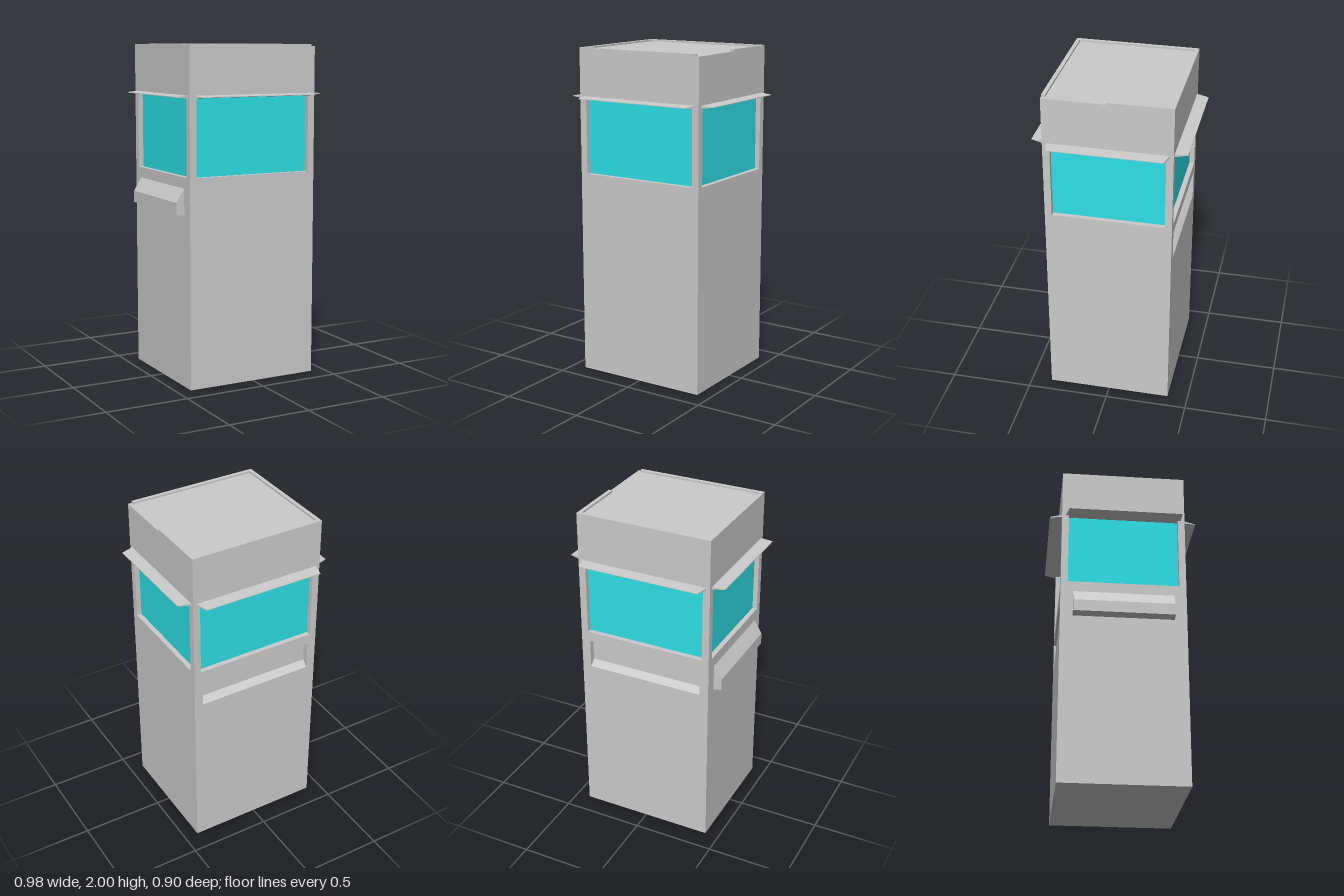
import * as THREE from 'three';

const HW = 0.415, HD = 0.375;   // half width and half depth of the tower
const T = 0.035;                // wall thickness, also the depth of the recesses
const TOP = 1.988;              // roof deck level
const WIN = [1.245, 1.7];       // window sill and head
const SLOT = [1.01, 1.185];     // niche sill and head

const grey = new THREE.MeshStandardMaterial({ color: 0xcccccc, flatShading: true });
const glass = new THREE.MeshStandardMaterial({ color: 0x2ee0e6, flatShading: true });

function add(parent, name, geometry, material = grey) {
  const mesh = new THREE.Mesh(geometry, material);
  mesh.name = name;
  parent.add(mesh);
  return mesh;
}

// box given by its limits
function block(parent, name, [x0, x1], [y0, y1], [z0, z1], material) {
  const g = new THREE.BoxGeometry(x1 - x0, y1 - y0, z1 - z0);
  g.translate((x0 + x1) / 2, (y0 + y1) / 2, (z0 + z1) / 2);
  return add(parent, name, g, material);
}

function rectPath(Type, x0, x1, y0, y1) {
  return new Type([[x0, y0], [x1, y0], [x1, y1], [x0, y1]].map(p => new THREE.Vector2(...p)));
}

// prism along x from a (z, y) profile
function prism(parent, name, profile, halfLength) {
  const shape = new THREE.Shape(profile.map(([z, y]) => new THREE.Vector2(-z, y)));
  const g = new THREE.ExtrudeGeometry(shape, { depth: halfLength * 2, bevelEnabled: false });
  g.translate(0, 0, -halfLength);
  g.rotateY(Math.PI / 2);
  return add(parent, name, g);
}

// thin canopy tapering outward in plan and in thickness
function canopy(parent, z, half, taperLeft, taperRight) {
  const g = new THREE.BoxGeometry(2, 2, 1).toNonIndexed();
  const p = g.attributes.position;
  for (let i = 0; i < p.count; i++) {
    const sx = p.getX(i), sy = p.getY(i), outer = p.getZ(i) > 0;
    const taper = outer ? (sx > 0 ? taperRight : taperLeft) : 0;
    p.setXYZ(i, sx * (half - taper), 1.706 + sy * (outer ? 0.002 : 0.008), outer ? z + 0.073 : z - 0.005);
  }
  g.computeVertexNormals();
  add(parent, 'canopy', g);
}

// one side of the tower: x runs along the wall, z points outward
function side(name, angle, { face, halfWall, halfWindow, halfCanopy, taper, slot }) {
  const group = new THREE.Group();
  group.name = name;
  const wall = rectPath(THREE.Shape, -halfWall, halfWall, 0, TOP);
  wall.holes.push(rectPath(THREE.Path, -halfWindow, halfWindow, ...WIN));
  if (slot) wall.holes.push(rectPath(THREE.Path, -slot, slot, ...SLOT));
  const g = new THREE.ExtrudeGeometry(wall, { depth: T, bevelEnabled: false });
  g.translate(0, 0, face - T);
  add(group, 'wall', g);
  block(group, 'window', [-halfWindow, halfWindow], WIN, [face - T - 0.01, face - T + 0.005], glass);
  canopy(group, face, halfCanopy, ...taper);
  if (slot) {
    // sloping sill inside the niche
    prism(group, 'nicheSill', [[face, SLOT[0]], [face - T, SLOT[0] + 0.035], [face - T, SLOT[0]]], slot);
  }
  group.rotation.y = angle;
  return group;
}

export function createModel() {
  const model = new THREE.Group();
  model.name = 'guardTower';

  // solid core behind the wall panels
  block(model, 'core', [-HW + T, HW - T], [0, TOP], [-HD + T, HD - T]);

  const long = { face: HD, halfWall: HW, halfWindow: 0.372, halfCanopy: 0.393, taper: [0.022, 0.022] };
  const short = { face: HW, halfWall: HD - T, halfWindow: 0.333, halfCanopy: 0.352, taper: [0.02, 0.02] };
  model.add(side('frontSide', 0, long));
  model.add(side('leftSide', Math.PI / 2, short));
  model.add(side('backSide', Math.PI, { ...long, slot: 0.36 }));
  const right = side('rightSide', -Math.PI / 2, { ...short, taper: [0.02, 0] });
  model.add(right);

  // sloped hopper on the right wall
  prism(right, 'hopper', [[HW - 0.01, 1.02], [HW, 1.02], [HW + 0.05, 1.03], [HW + 0.05, 1.1], [HW, 1.18], [HW - 0.01, 1.18]], 0.3);

  // low roof rim, open along the front half of the left edge
  const R = 0.023, rimY = [TOP, 2];
  block(model, 'rimFront', [-HW, HW - R], rimY, [HD - R, HD]);
  block(model, 'rimBack', [-HW, HW], rimY, [-HD, -HD + R]);
  block(model, 'rimRight', [-HW, -HW + R], rimY, [-HD + R, HD - R]);
  block(model, 'rimLeft', [HW - R, HW], rimY, [-HD + R, 0]);

  return model;
}
